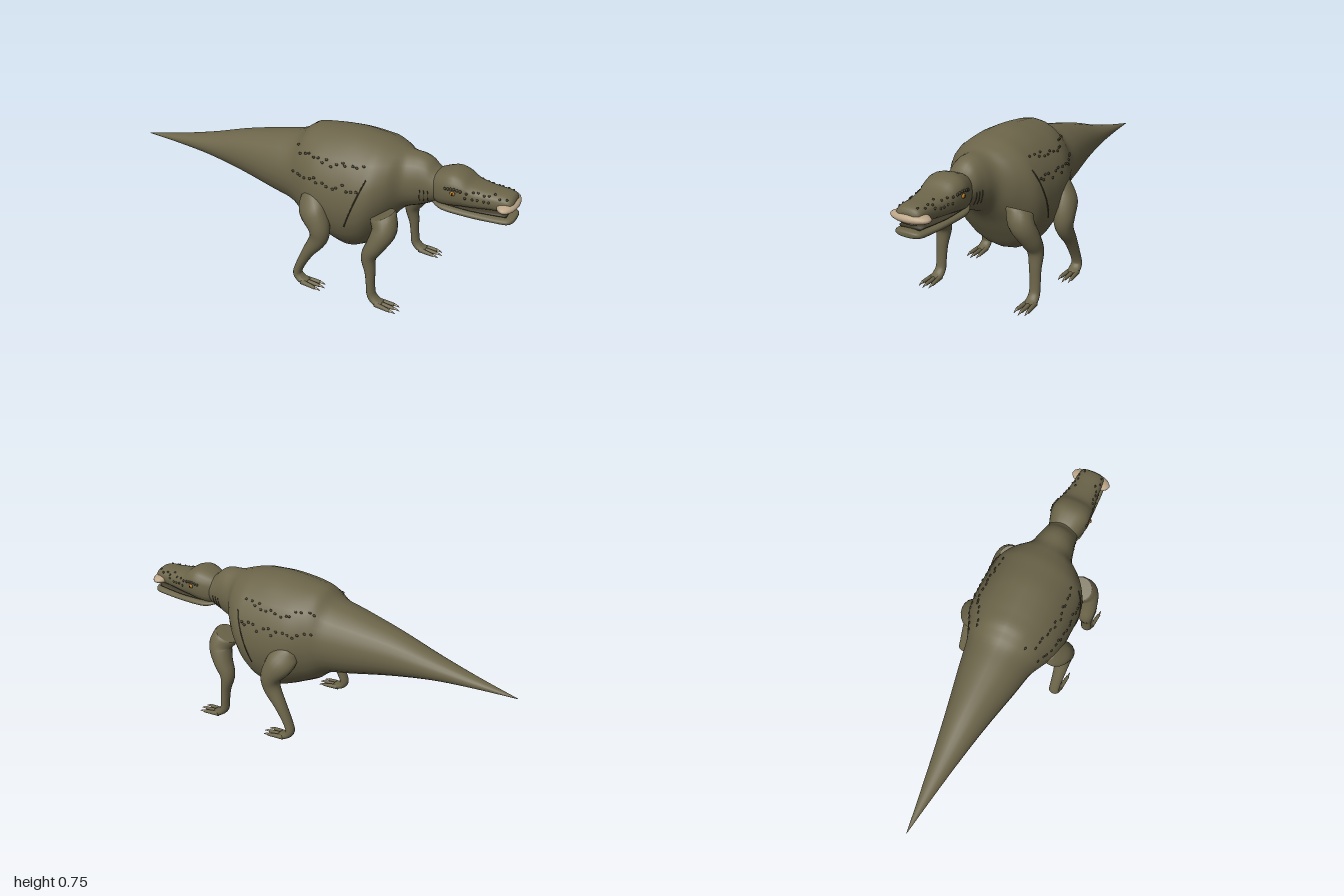
import * as THREE from 'three';

const mat = (name, color) => Object.assign(new THREE.MeshStandardMaterial({ color }), { name });

// Smooth value along a list of key sections
function sample(keys, t) {
  const n = keys.length - 1, i = Math.min(Math.floor(t), n - 1), f = t - i;
  const a = keys[Math.max(i - 1, 0)], b = keys[i], c = keys[i + 1], d = keys[Math.min(i + 2, n)];
  return b.map((v, k) => v + 0.5 * f * (c[k] - a[k] + f * (2 * a[k] - 5 * v + 4 * c[k] - d[k]
    + f * (3 * (v - c[k]) + d[k] - a[k]))));
}

// Superelliptic loft through sections [x, y, z, height radius, z radius]
function loft(keys, { sides = 24, steps = 4, power = 2, alongX = false } = {}) {
  const rings = (keys.length - 1) * steps, pos = [], index = [];
  const at = (i) => sample(keys, i / steps);
  const round = (v) => Math.sign(v) * Math.abs(v) ** (2 / power);
  for (let i = 0; i <= rings; i++) {
    const [x, y, z, h, w] = at(i), p = at(Math.max(i - 1, 0)), q = at(Math.min(i + 1, rings));
    let tx = alongX ? 1 : q[0] - p[0], ty = alongX ? 0 : q[1] - p[1];
    const len = Math.hypot(tx, ty) || 1;
    tx /= len; ty /= len;
    for (let j = 0; j < sides; j++) {
      const a = j / sides * Math.PI * 2, u = round(Math.sin(a)) * h;
      pos.push(x - ty * u, y + tx * u, z + round(Math.cos(a)) * w);
    }
  }
  for (let i = 0; i < rings; i++) for (let j = 0; j < sides; j++) {
    const k = (j + 1) % sides, a = i * sides + j, b = i * sides + k;
    index.push(a, a + sides, b, b, a + sides, b + sides);
  }
  // End caps
  const c0 = pos.length / 3, last = rings * sides;
  pos.push(...at(0).slice(0, 3), ...at(rings).slice(0, 3));
  for (let j = 0; j < sides; j++) {
    const k = (j + 1) % sides;
    index.push(c0, j, k, c0 + 1, last + k, last + j);
  }
  const g = new THREE.BufferGeometry();
  g.setAttribute('position', new THREE.Float32BufferAttribute(pos, 3));
  g.setIndex(index);
  g.computeVertexNormals();
  return g;
}

// [x, top, bottom, half width] to loft sections
const profile = (rows) => rows.map(([x, t, b, w]) => [x, (t + b) / 2, 0, (t - b) / 2, w]);

// Half width of a profile at a given x and y
function surfaceZ(keys, x, y, power = 2) {
  let t = 0;
  while (t < keys.length - 1.05 && sample(keys, t)[0] < x) t += 0.05;
  const [, cy, , h, w] = sample(keys, t);
  return w * Math.max(0, 1 - Math.abs((y - cy) / h) ** power) ** (1 / power);
}

const BODY = profile([
  [-1, 0.446, 0.444, 0.001], [-0.8, 0.488, 0.437, 0.033], [-0.6, 0.54, 0.42, 0.067],
  [-0.4, 0.602, 0.383, 0.105], [-0.2, 0.65, 0.335, 0.148], [-0.08, 0.677, 0.305, 0.172],
  [-0.01, 0.725, 0.25, 0.2], [0.07, 0.738, 0.21, 0.235], [0.15, 0.746, 0.172, 0.248],
  [0.23, 0.75, 0.153, 0.25], [0.31, 0.742, 0.185, 0.247], [0.37, 0.733, 0.265, 0.23],
  [0.43, 0.715, 0.36, 0.18], [0.48, 0.7, 0.415, 0.118], [0.54, 0.696, 0.44, 0.096],
  [0.58, 0.68, 0.458, 0.086], [0.62, 0.645, 0.48, 0.078], [0.68, 0.62, 0.5, 0.06],
]);
const HEAD = profile([
  [0.59, 0.625, 0.515, 0.055], [0.64, 0.65, 0.487, 0.082], [0.7, 0.667, 0.492, 0.098],
  [0.75, 0.655, 0.5, 0.094], [0.8, 0.624, 0.506, 0.085], [0.88, 0.611, 0.515, 0.072],
  [0.94, 0.607, 0.52, 0.067], [0.972, 0.598, 0.523, 0.06], [0.984, 0.58, 0.535, 0.04],
]);
const JAW = profile([
  [0.61, 0.506, 0.488, 0.05], [0.67, 0.506, 0.468, 0.08], [0.8, 0.503, 0.462, 0.08],
  [0.9, 0.502, 0.465, 0.076], [0.965, 0.505, 0.467, 0.07], [0.988, 0.502, 0.474, 0.05],
  [0.994, 0.495, 0.482, 0.025],
]);
// Leg sections for the +z side
const HIND = [
  [0.05, 0.475, 0.205, 0.03, 0.025], [0.07, 0.45, 0.215, 0.06, 0.042], [0.1, 0.4, 0.238, 0.068, 0.055],
  [0.14, 0.33, 0.25, 0.053, 0.052], [0.137, 0.265, 0.252, 0.044, 0.042], [0.088, 0.185, 0.258, 0.03, 0.032],
  [0.045, 0.1, 0.26, 0.022, 0.027], [0.031, 0.05, 0.262, 0.021, 0.027], [0.055, 0.022, 0.263, 0.018, 0.03],
  [0.09, 0.014, 0.264, 0.012, 0.03],
];
const FORE = [
  [0.435, 0.447, 0.19, 0.058, 0.058], [0.44, 0.435, 0.195, 0.063, 0.064], [0.457, 0.385, 0.217, 0.058, 0.064],
  [0.43, 0.315, 0.242, 0.046, 0.052], [0.4, 0.25, 0.253, 0.036, 0.04], [0.411, 0.17, 0.258, 0.024, 0.03],
  [0.417, 0.1, 0.261, 0.02, 0.027], [0.424, 0.05, 0.262, 0.021, 0.027], [0.45, 0.022, 0.263, 0.018, 0.03],
  [0.48, 0.014, 0.264, 0.012, 0.03],
];

export function createModel() {
  const skin = mat('olive skin', 0x6c654a), dark = mat('dark scale', 0x423d2c), beakMat = mat('pale beak', 0xbba588);
  const amber = mat('amber eye', 0xb0781e), black = mat('black pupil', 0x14110c), clawMat = mat('pale claw', 0xb8a588);
  const model = new THREE.Group();
  const add = (name, geometry, material, p = [0, 0, 0], s = [1, 1, 1], parent = model) => {
    const m = new THREE.Mesh(geometry, material);
    m.name = name;
    m.position.set(...p);
    m.scale.set(...s);
    parent.add(m);
    return m;
  };
  const ball = new THREE.SphereGeometry(1, 20, 14), bead = new THREE.SphereGeometry(1, 8, 6);
  let seed = 7;
  const jitter = (r) => ((seed = (seed * 16807) % 2147483647) / 2147483647 - 0.5) * 2 * r;

  // Body with tail and neck, head and jaw
  add('body', loft(BODY, { alongX: true, steps: 5 }), skin);
  add('head', loft(HEAD, { alongX: true, power: 2.5 }), skin);
  add('lowerJaw', loft(JAW, { alongX: true, power: 2.5 }), skin);
  add('mouthInside', loft(profile([[0.64, 0.515, 0.495, 0.06], [0.8, 0.515, 0.495, 0.07],
    [0.96, 0.525, 0.495, 0.055]]), { alongX: true }), dark);
  add('beak', ball, beakMat, [0.952, 0.553, 0], [0.048, 0.026, 0.101]);

  for (const s of [1, -1]) {
    const side = new THREE.Group();
    side.name = s > 0 ? 'rightSide' : 'leftSide';
    model.add(side);
    const put = (name, g, m, p, sc) => add(name, g, m, p, sc, side);

    // Legs, toes and claws
    for (const [name, keys] of [['hind', HIND], ['fore', FORE]]) {
      put(name + 'Leg', loft(keys.map(([x, y, z, h, w]) => [x, y, z * s, h, w]), { sides: 18 }), skin);
      const fx = keys[keys.length - 1][0];
      for (const k of [-1, 0, 1]) {
        const z0 = 0.264 + k * 0.02, z1 = 0.264 + k * 0.028, reach = k ? 0.05 : 0.06;
        put(name + 'Toe', loft([[fx - 0.03, 0.016, z0 * s, 0.013, 0.011], [fx + 0.015, 0.013, (z0 + z1) / 2 * s, 0.011, 0.01],
          [fx + reach, 0.01, z1 * s, 0.008, 0.008]], { sides: 10 }), skin);
        put(name + 'Claw', loft([[fx + reach - 0.006, 0.011, z1 * s, 0.007, 0.006], [fx + reach + 0.012, 0.009, z1 * s, 0.005, 0.004],
          [fx + reach + 0.028, 0.003, z1 * s, 0.001, 0.001]], { sides: 8 }), clawMat);
      }
    }

    // Eye with dark lid and pupil
    put('eyelid', ball, dark, [0.72, 0.587, 0.09 * s], [0.019, 0.016, 0.01]);
    put('eye', ball, amber, [0.722, 0.586, 0.096 * s], [0.012, 0.011, 0.01]);
    put('pupil', ball, black, [0.723, 0.586, 0.104 * s], [0.004, 0.007, 0.003]);

    // Scales over the flank
    for (const y0 of [0.645, 0.555]) for (let i = 0; i < 15; i++) {
      const x = -0.03 + i * 0.025 + jitter(0.008), y = y0 + jitter(0.016);
      put('flankScale', bead, dark, [x, y, surfaceZ(BODY, x, y) * s], [0.008, 0.006, 0.005]);
    }
    // Scales over the brow and snout
    for (let i = 0; i < 6; i++) {
      const x = 0.685 + i * 0.014, y = 0.608 - Math.abs(i - 2.5) * 0.003;
      put('browScale', bead, dark, [x, y, surfaceZ(HEAD, x, y, 2.5) * s], [0.007, 0.007, 0.006]);
    }
    for (let i = 0; i < 16; i++) {
      const x = 0.78 + (i >> 1) * 0.025 + jitter(0.006), y = (i % 2 ? 0.598 : 0.572) + jitter(0.008);
      if (x > 0.9 && i % 2 === 0) continue;
      put('snoutScale', bead, dark, [x, y, surfaceZ(HEAD, x, y, 2.5) * s], [0.006, 0.006, 0.005]);
    }

    // Skin folds behind the shoulder and on the throat
    const fold = (name, x0, y0, x1, y1, r) => {
      const pts = Array.from({ length: 9 }, (_, i) => {
        const x = x0 + (x1 - x0) * i / 8, y = y0 + (y1 - y0) * i / 8;
        return new THREE.Vector3(x, y, surfaceZ(BODY, x, y) * s);
      });
      put(name, new THREE.TubeGeometry(new THREE.CatmullRomCurve3(pts), 24, r, 6), dark);
    };
    fold('shoulderFold', 0.353, 0.61, 0.262, 0.36, 0.003);
    for (let i = 0; i < 3; i++) fold('throatFold', 0.565 + i * 0.018, 0.56, 0.56 + i * 0.018, 0.495, 0.002);
  }
  return model;
}
